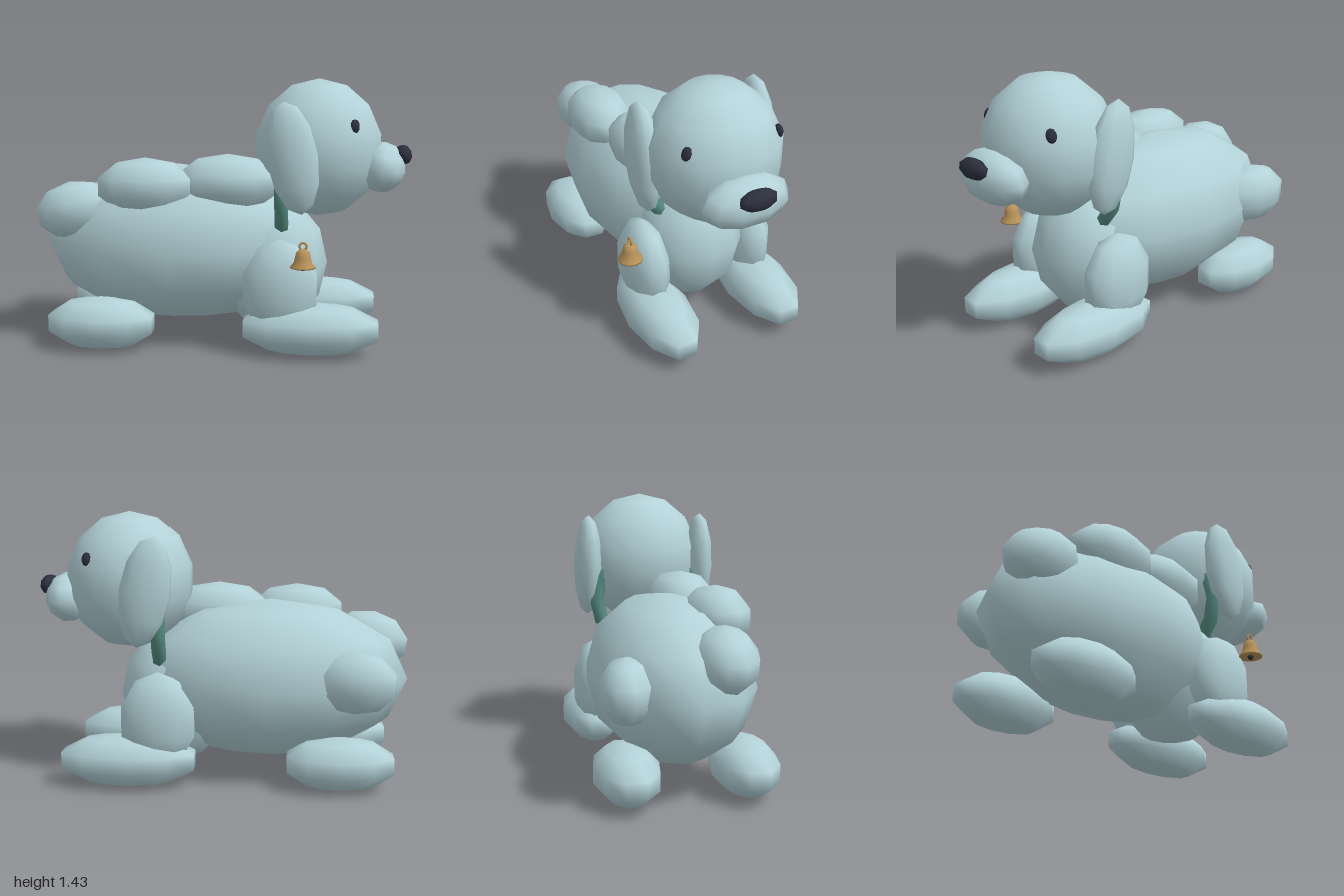
import * as THREE from 'three';

const mat = (name, color) => {
  const m = new THREE.MeshStandardMaterial({ color });
  m.name = name;
  return m;
};

export function createModel() {
  const fur = mat('pale blue', 0xb3d2d8);
  const green = mat('collar green', 0x558b80);
  const brass = mat('brass', 0xb8935a);
  const dark = mat('dark navy', 0x2c2f3d);
  const MID = -0.015; // z of the mirror plane
  const model = new THREE.Group();
  model.name = 'toyDog';

  const add = (name, geo, material, pos, rot = [0, 0, 0]) => {
    const mesh = new THREE.Mesh(geo, material);
    mesh.name = name;
    mesh.position.set(...pos);
    mesh.rotation.set(...rot);
    model.add(mesh);
    return mesh;
  };

  // Low-sided smooth ball, scaled to exact half sizes
  const ball = (name, material, pos, half, segs = 10, rings = 5, rot) => {
    const geo = new THREE.SphereGeometry(1, segs, rings, Math.PI / 2);
    geo.computeBoundingBox();
    const b = geo.boundingBox.max;
    geo.scale(half[0] / b.x, half[1] / b.y, half[2] / b.z);
    return add(name, geo, material, pos, rot);
  };

  // Same ball on both sides of the mirror plane
  const pair = (name, material, [x, y, dz], half, segs, rings, [rx, ry, rz] = [0, 0, 0]) => {
    for (const s of [1, -1]) {
      ball((s > 0 ? 'near' : 'far') + name, material, [x, y, MID + s * dz], half, segs, rings, [s * rx, s * ry, rz]);
    }
  };

  // Trunk
  ball('body', fur, [-0.26, 0.54, -0.02], [0.74, 0.43, 0.43], 12, 6);
  ball('chest', fur, [0.25, 0.44, -0.01], [0.31, 0.37, 0.3], 12, 6);

  // Fluffy tufts on the back and rump
  ball('frontTuft', fur, [0.03, 0.888, 0.122], [0.265, 0.153, 0.178]);
  ball('middleTuft', fur, [-0.4, 0.872, 0.2], [0.245, 0.153, 0.165]);
  ball('rearTuft', fur, [-0.8, 0.73, 0.135], [0.2, 0.155, 0.155], 10, 5, [0, 0, 0.2]);
  ball('rumpTuft', fur, [-0.7, 0.58, -0.32], [0.21, 0.165, 0.135], 10, 5, [0, -0.2, 0]);

  // Legs and feet
  pair('FrontLeg', fur, [0.32, 0.36, 0.3], [0.19, 0.26, 0.12], 10, 5);
  pair('FrontFoot', fur, [0.48, 0.147, 0.3], [0.35, 0.142, 0.165], 10, 5);
  pair('HindFoot', fur, [-0.632, 0.147, 0.3], [0.277, 0.142, 0.165], 10, 5);

  // Head
  ball('head', fur, [0.503, 1.066, -0.012], [0.328, 0.368, 0.343], 14, 7);
  ball('snout', fur, [0.84, 0.967, 0], [0.122, 0.135, 0.235], 10, 6, [0, 0, -0.15]);
  ball('nose', dark, [0.953, 1.034, 0], [0.042, 0.053, 0.098], 10, 5, [0, 0, 0.15]);
  pair('Eye', dark, [0.69, 1.2, 0.25], [0.026, 0.037, 0.02], 8, 5, [-0.3, 0.5, 0]);
  pair('Ear', fur, [0.378, 1.04, 0.322], [0.13, 0.292, 0.08], 10, 6, [0, 0, 0.17]);

  // Collar ring around the neck
  add('collar', new THREE.TorusGeometry(0.285, 0.04, 6, 14), green, [0.32, 0.86, MID], [0, Math.PI / 2, 0]);

  // Bell with hanging loop and clapper
  const profile = [[0.05, 0.506], [0.064, 0.5], [0.063, 0.508], [0.047, 0.525], [0.04, 0.555],
    [0.035, 0.578], [0.02, 0.594], [0, 0.598]].map(([r, y]) => new THREE.Vector2(r, y));
  add('bell', new THREE.LatheGeometry(profile, 12), brass, [0.44, 0, 0.415]);
  add('bellBase', new THREE.CircleGeometry(0.055, 12), brass, [0.44, 0.506, 0.415], [Math.PI / 2, 0, 0]);
  add('bellLoop', new THREE.TorusGeometry(0.018, 0.006, 6, 12), brass, [0.44, 0.61, 0.415]);
  ball('clapper', dark, [0.44, 0.5, 0.415], [0.017, 0.017, 0.017], 8, 6);

  return model;
}
